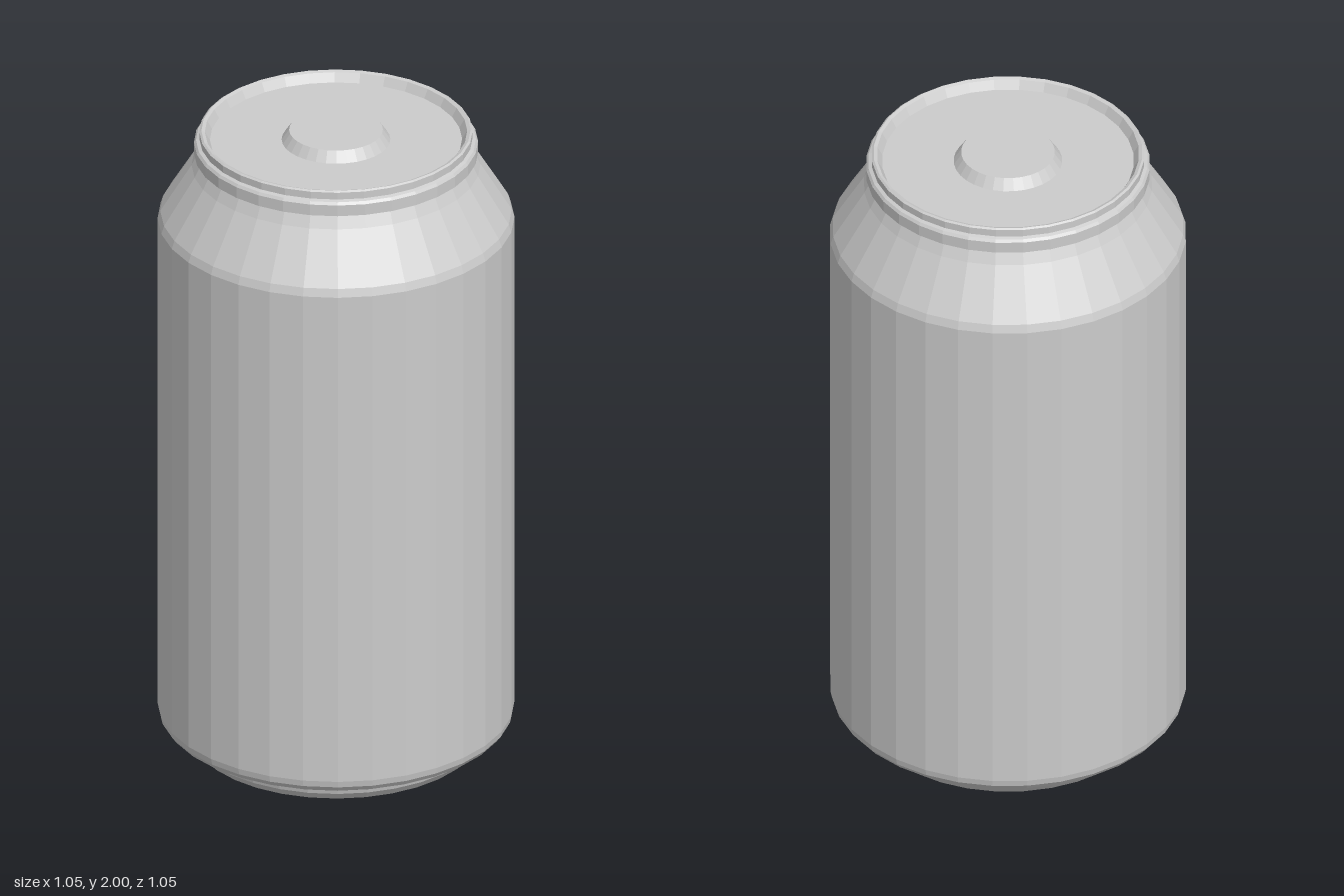
import * as THREE from 'three';

const SIDES = 32;

export function createModel() {
  const can = new THREE.Group();
  can.name = 'can';
  const material = new THREE.MeshStandardMaterial({ color: 0xcccccc, flatShading: true });

  // Turns a [radius, height] profile into a faceted part
  const turn = (name, profile) => {
    const points = profile.map(([r, y]) => new THREE.Vector2(r, y));
    const mesh = new THREE.Mesh(new THREE.LatheGeometry(points, SIDES), material);
    mesh.name = name;
    can.add(mesh);
  };

  // Flat bottom and stepped foot
  turn('base', [
    [0, 0], [0.405, 0], [0.425, 0.01], [0.445, 0.035], [0.452, 0.062],
  ]);

  // Rounded lower edge and straight wall
  turn('body', [
    [0.452, 0.062], [0.485, 0.066], [0.508, 0.078], [0.521, 0.095], [0.525, 0.115], [0.525, 1.71],
  ]);

  // Tapered neck
  turn('shoulder', [
    [0.525, 1.71], [0.517, 1.735], [0.425, 1.885], [0.408, 1.92],
  ]);

  // Rolled rim: outer bead, narrow lip and inner wall
  turn('rim', [
    [0.408, 1.92], [0.418, 1.925], [0.418, 1.96], [0.412, 1.968], [0.402, 1.972],
    [0.402, 1.994], [0.396, 1.998], [0.386, 1.994], [0.371, 1.968],
  ]);

  // Recessed lid with a raised round button
  turn('lid', [[0.371, 1.968], [0.16, 1.968]]);
  turn('lidButton', [[0.16, 1.968], [0.138, 2], [0, 2]]);

  return can;
}
